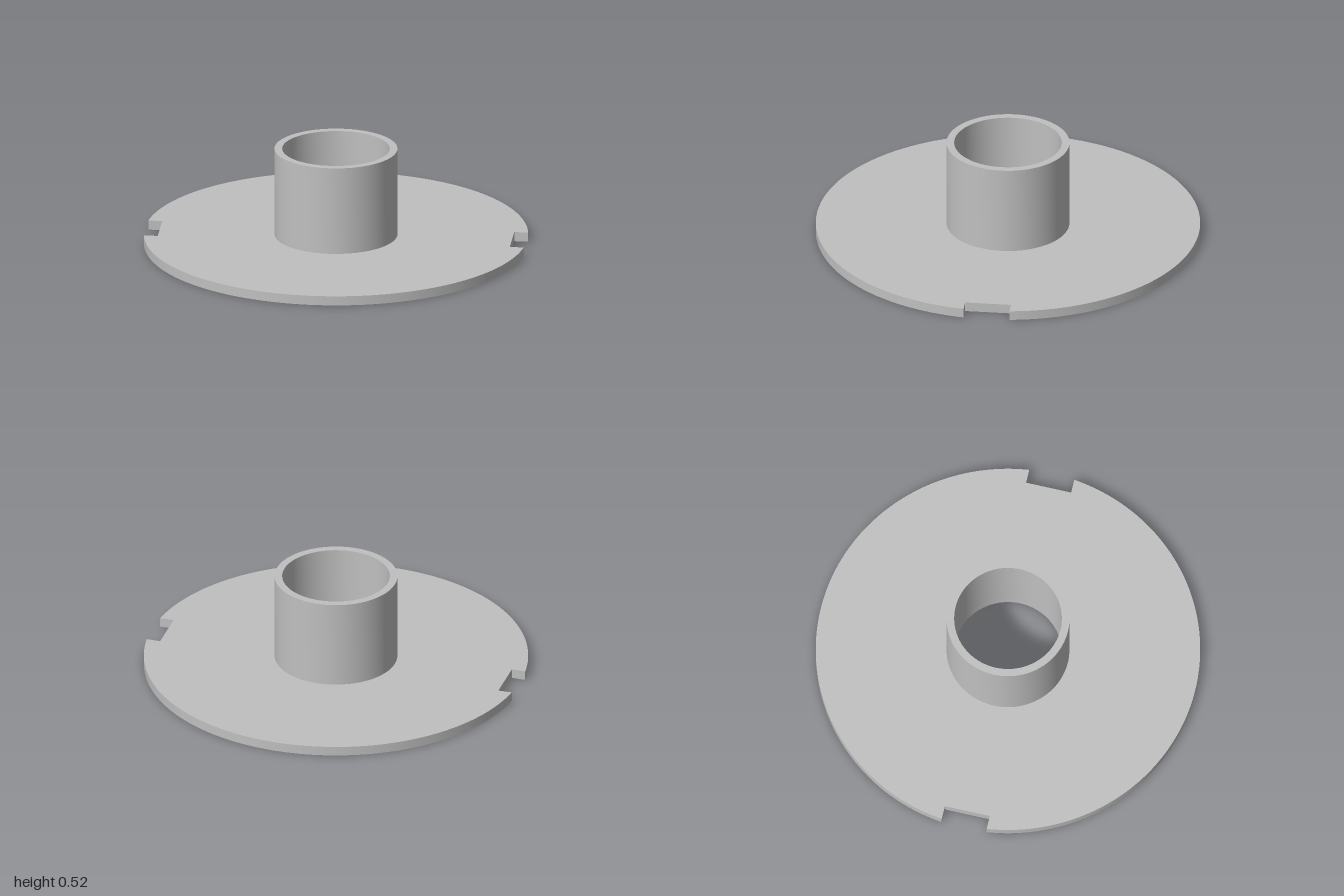
import * as THREE from 'three';
import { toCreasedNormals } from 'three/addons/utils/BufferGeometryUtils.js';

const RADIUS = 1, THICKNESS = 0.05, HEIGHT = 0.52;
const BORE = 0.28, COLLAR = 0.32;
const NOTCH_X = 0.92, NOTCH_HALF = 0.12;

// Round plate with a central bore and a square notch on each side
function flangeGeometry() {
  const a = Math.asin(NOTCH_HALF / RADIUS);
  const shape = new THREE.Shape();
  shape.absarc(0, 0, RADIUS, a, Math.PI - a, false);
  shape.lineTo(-NOTCH_X, NOTCH_HALF);
  shape.lineTo(-NOTCH_X, -NOTCH_HALF);
  shape.absarc(0, 0, RADIUS, Math.PI + a, 2 * Math.PI - a, false);
  shape.lineTo(NOTCH_X, -NOTCH_HALF);
  shape.lineTo(NOTCH_X, NOTCH_HALF);
  shape.closePath();
  shape.holes.push(new THREE.Path().absarc(0, 0, BORE, 0, Math.PI * 2, true));
  const geometry = new THREE.ExtrudeGeometry(shape, {
    depth: THICKNESS, bevelEnabled: false, curveSegments: 72,
  });
  geometry.rotateX(-Math.PI / 2);
  return toCreasedNormals(geometry, 0.5);
}

// Hollow collar standing on the plate: outer wall, rim, inner wall
function collarGeometry() {
  const profile = [
    [COLLAR, THICKNESS], [COLLAR, HEIGHT], [BORE, HEIGHT], [BORE, THICKNESS],
  ].map(([r, y]) => new THREE.Vector2(r, y));
  return toCreasedNormals(new THREE.LatheGeometry(profile, 72), 0.5);
}

export function createModel() {
  const grey = new THREE.MeshStandardMaterial({ color: 0xc0c0c0 });
  grey.name = 'light grey';

  const model = new THREE.Group();
  model.name = 'flangedCollar';
  const add = (name, geometry) => {
    const mesh = new THREE.Mesh(geometry, grey);
    mesh.name = name;
    model.add(mesh);
  };
  add('notchedFlange', flangeGeometry());
  add('collar', collarGeometry());
  return model;
}
